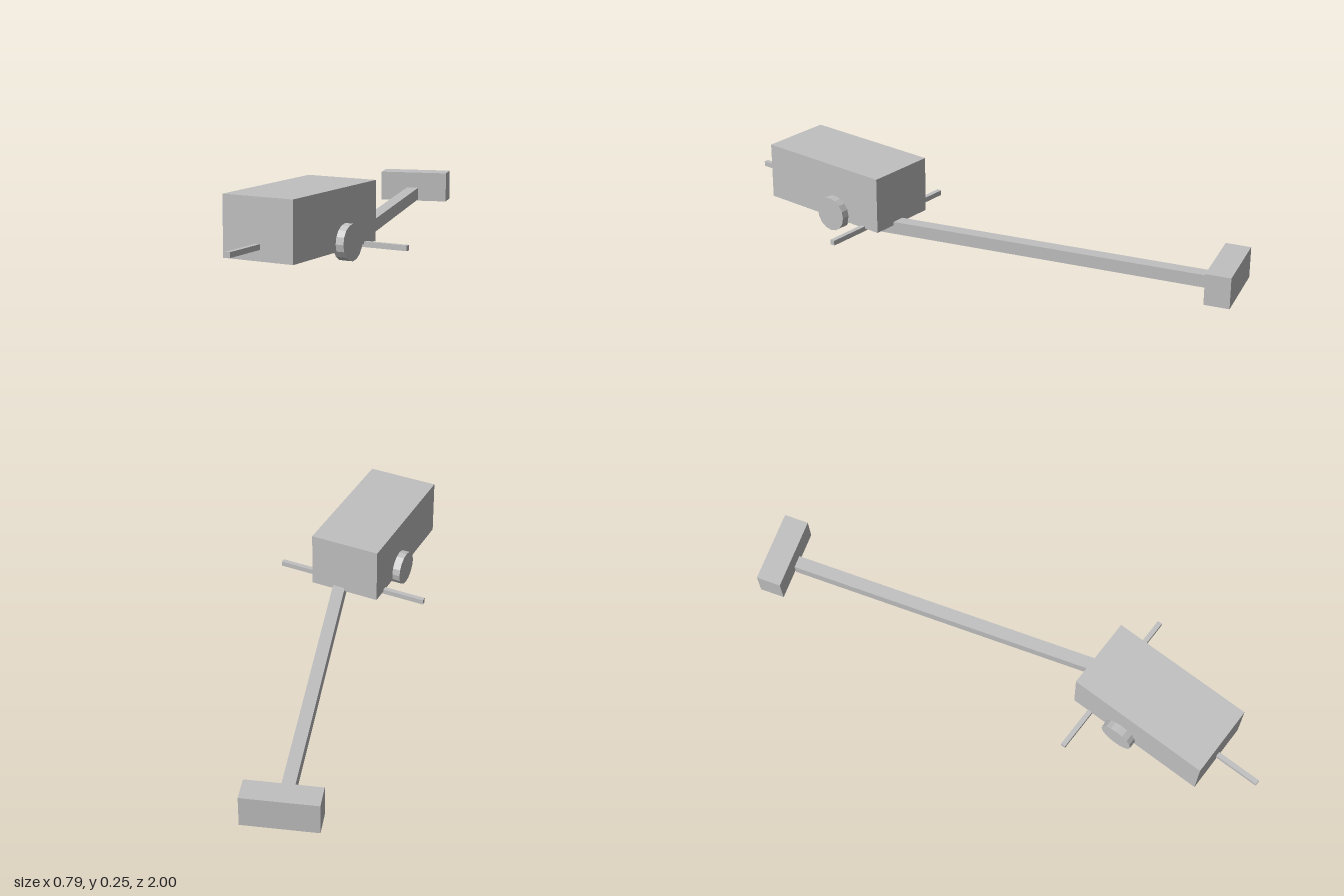
import * as THREE from 'three';

export function createModel() {
  const model = new THREE.Group();
  model.name = 'towedCart';
  const grey = new THREE.MeshStandardMaterial({ color: 0xc0c0c0 });
  grey.name = 'plain grey';
  grey.flatShading = true;

  const add = (name, geometry, x, y, z, parent = model) => {
    const mesh = new THREE.Mesh(geometry, grey);
    mesh.name = name;
    mesh.position.set(x, y, z);
    parent.add(mesh);
    return mesh;
  };
  const box = (w, h, d) => new THREE.BoxGeometry(w, h, d);
  const cx = 0.095; // centre line of the cart

  // Main box and the rod at its front
  add('body', box(0.27, 0.212, 0.54), cx, 0.147, 0.556);
  add('frontRod', box(0.018, 0.019, 0.2), cx, 0.089, 0.9);

  // Wheels and side rods, mirrored about the cart's centre line
  for (const [side, s] of [['left', 1], ['right', -1]]) {
    const wheel = new THREE.CylinderGeometry(0.064, 0.064, 0.04, 16);
    wheel.rotateZ(Math.PI / 2);
    add(side + 'Wheel', wheel, cx + s * 0.145, 0.068, 0.495);
    add(side + 'Rod', box(0.188, 0.019, 0.018), cx + s * 0.205, 0.04, 0.358);
  }

  // Long slanted beam trailing behind, with a block across its far end
  const trail = new THREE.Group();
  trail.name = 'trail';
  trail.position.set(0.1525, 0, 0.398);
  trail.rotation.y = 0.301;
  model.add(trail);
  add('beam', box(0.047, 0.048, 1.323), 0, 0.031, -0.6615, trail);
  add('endBlock', box(0.27, 0.117, 0.092), 0.003, 0.0585, -1.375, trail);

  return model;
}
